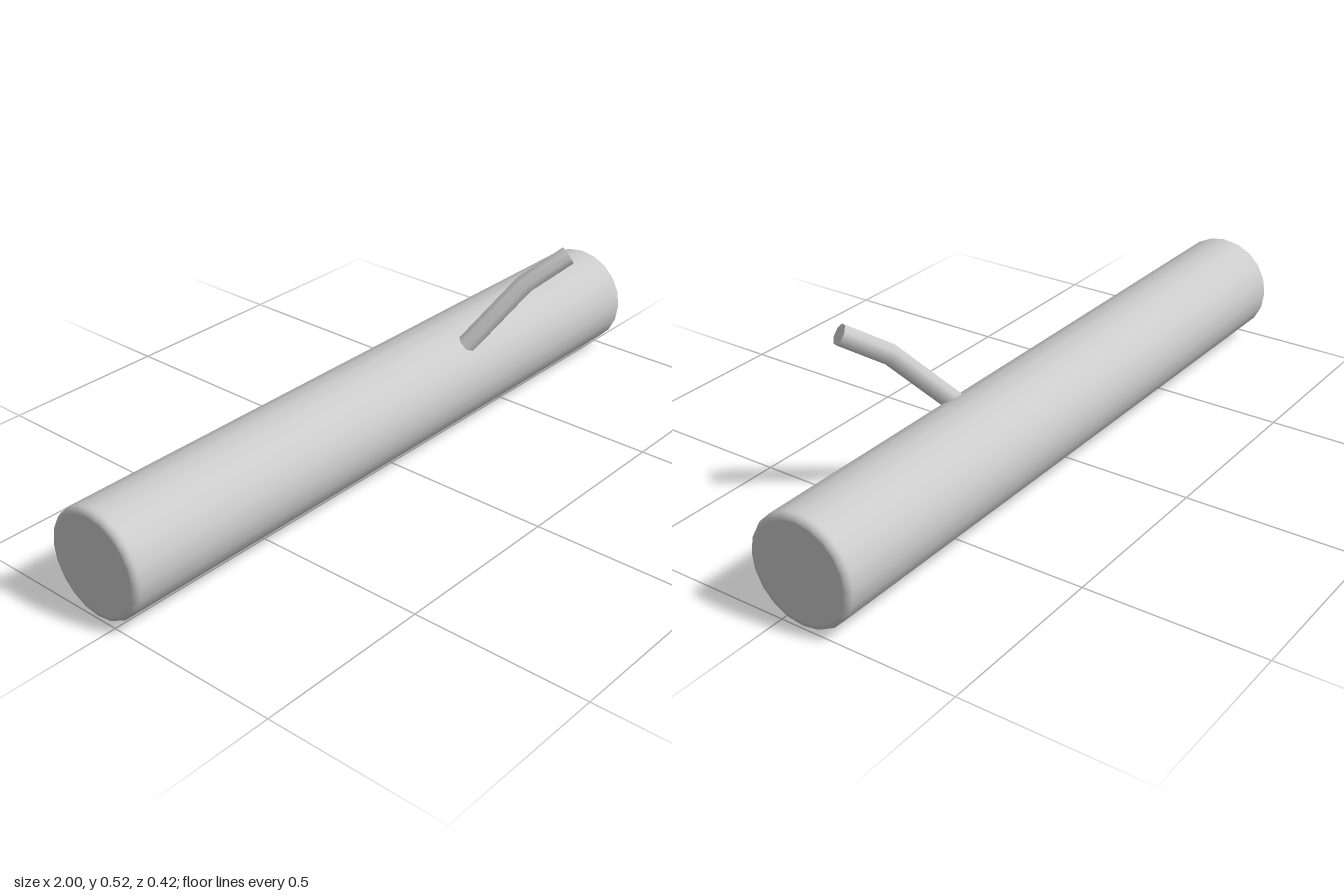
import * as THREE from 'three';

const material = new THREE.MeshStandardMaterial({ color: 0xcccccc });

function add(group, name, geometry) {
  const mesh = new THREE.Mesh(geometry, material);
  mesh.name = name;
  group.add(mesh);
  return mesh;
}

// Eight-sided limb swept through three points, with a mitred ring at the bend
function bentLimb(points, radius) {
  const geometry = new THREE.CylinderGeometry(radius, radius, 2, 8, 2);
  const up = new THREE.Vector3(0, 1, 0);
  const turns = points.map((p, i) => {
    const before = points[Math.max(i - 1, 0)];
    const after = points[Math.min(i + 1, 2)];
    const tangent = after.clone().sub(before).normalize();
    return new THREE.Quaternion().setFromUnitVectors(up, tangent);
  });
  const position = geometry.attributes.position;
  const normal = geometry.attributes.normal;
  const v = new THREE.Vector3();
  for (let i = 0; i < position.count; i++) {
    const ring = Math.round(position.getY(i)) + 1;
    v.fromBufferAttribute(position, i).setY(0).applyQuaternion(turns[ring]).add(points[ring]);
    position.setXYZ(i, v.x, v.y, v.z);
    v.fromBufferAttribute(normal, i).applyQuaternion(turns[ring]);
    normal.setXYZ(i, v.x, v.y, v.z);
  }
  return geometry;
}

export function createModel() {
  const model = new THREE.Group();
  model.name = 'log';

  // Trunk: 20-sided bar along x with softened rims
  const trunk = new THREE.Group();
  trunk.name = 'trunk';
  trunk.position.set(0, 0.149, -0.062);
  model.add(trunk);
  const rim = [[0.134, 1], [0.144, 0.997], [0.149, 0.987], [0.149, 0.975]];
  const profile = [
    ...rim.map(([r, y]) => new THREE.Vector2(r, -y)),
    ...rim.slice().reverse().map(([r, y]) => new THREE.Vector2(r, y)),
  ];
  add(trunk, 'bark', new THREE.LatheGeometry(profile, 20).rotateZ(-Math.PI / 2));

  // Flat cut ends
  for (const side of [-1, 1]) {
    const end = add(trunk, side > 0 ? 'leftCutEnd' : 'rightCutEnd', new THREE.CircleGeometry(0.134, 20));
    end.rotation.y = side * Math.PI / 2;
    end.position.x = side;
  }

  // Side branch, rooted inside the trunk
  add(model, 'branch', bentLimb([
    new THREE.Vector3(0.27, 0.22, 0),
    new THREE.Vector3(0.44, 0.422, 0.113),
    new THREE.Vector3(0.542, 0.497, 0.187),
  ], 0.029));

  return model;
}
